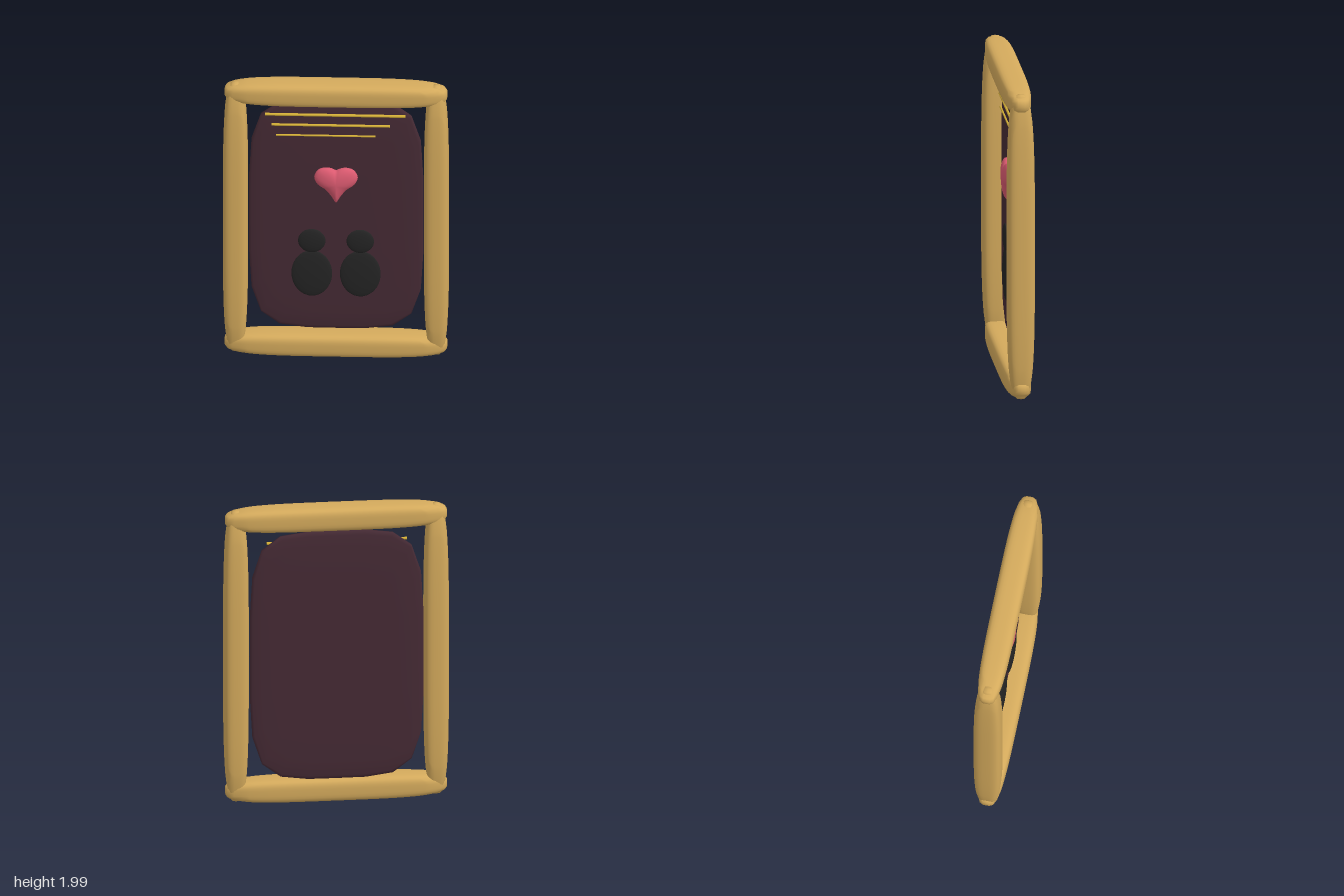
import * as THREE from 'three';
import { mergeVertices } from 'three/addons/utils/BufferGeometryUtils.js';

const material = (color) => new THREE.MeshStandardMaterial({ color });

function smooth(geometry) {
  geometry.deleteAttribute('normal');
  geometry.deleteAttribute('uv');
  const merged = mergeVertices(geometry, 1e-5);
  merged.computeVertexNormals();
  return merged;
}

// Box swollen into a superellipsoid with the given half sizes and segments
function softBox(half, segments, power) {
  const geometry = new THREE.BoxGeometry(2, 2, 2, ...segments);
  const pos = geometry.attributes.position;
  const v = new THREE.Vector3();
  for (let i = 0; i < pos.count; i++) {
    v.fromBufferAttribute(pos, i);
    const sum = Math.abs(v.x) ** power + Math.abs(v.y) ** power + Math.abs(v.z) ** power;
    v.multiplyScalar(sum ** (-1 / power));
    pos.setXYZ(i, v.x * half[0], v.y * half[1], v.z * half[2]);
  }
  return smooth(geometry);
}

// Puffed heart: a sphere whose rings follow a heart outline
function heartGeometry() {
  const side = [[0, -0.145], [0.025, -0.105], [0.065, -0.05], [0.115, -0.01], [0.135, 0.04],
    [0.112, 0.09], [0.065, 0.107], [0.025, 0.1]];
  const outline = [...side, [0, 0.088], ...side.slice(1).reverse().map(([x, y]) => [-x, y])];
  const curve = new THREE.CatmullRomCurve3(outline.map(([x, y]) => new THREE.Vector3(x, y, 0)), true);
  const columns = 48, rows = 16;
  const geometry = new THREE.SphereGeometry(1, columns, rows);
  const pos = geometry.attributes.position;
  const p = new THREE.Vector3();
  for (let i = 0; i < pos.count; i++) {
    const column = i % (columns + 1);
    const angle = Math.PI * Math.floor(i / (columns + 1)) / rows;
    curve.getPoint((column % columns) / columns, p);
    const r = Math.sin(angle);
    pos.setXYZ(i, p.x * r, p.y * r, 0.045 * Math.cos(angle));
  }
  return smooth(geometry);
}

export function createModel() {
  const group = new THREE.Group();
  const wood = material(0xd4aa5c);
  const plum = material(0x452a34);
  const gold = material(0xd4af37);
  const black = material(0x242424);
  const pink = material(0xdb5a70);

  function add(name, geometry, mat, x, y, z) {
    const mesh = new THREE.Mesh(geometry, mat);
    mesh.name = name;
    mesh.position.set(x, y, z);
    group.add(mesh);
    return mesh;
  }

  // Frame bars
  const rail = softBox([0.69, 0.078, 0.086], [24, 8, 8], 3.8);
  const post = softBox([0.078, 0.985, 0.086], [8, 28, 8], 3.6);
  add('topRail', rail, wood, 0, 1.922, 0);
  add('bottomRail', rail, wood, 0, 0.085, 0);
  add('leftPost', post, wood, 0.622, 1, 0);
  add('rightPost', post, wood, -0.622, 1, 0);

  // Backing panel
  add('panel', softBox([0.54, 0.84, 0.03], [6, 6, 6], 4.7), plum, 0, 1.003, -0.045);

  // Gold strips: left end, right end, height, radius
  const strips = [[-0.44, 0.43, 1.753, 0.009], [-0.4, 0.335, 1.678, 0.008], [-0.37, 0.245, 1.602, 0.006]];
  strips.forEach(([a, b, y, r], i) => {
    const strip = add(`strip${i + 1}`, new THREE.CylinderGeometry(r, r, b - a, 12), gold, (a + b) / 2, y, 0);
    strip.rotation.z = Math.PI / 2;
  });

  // Heart
  add('heart', heartGeometry(), pink, 0, 1.258, 0);

  // Pair of silhouettes
  for (const [label, x] of [['left', 0.15], ['right', -0.15]]) {
    const ball = new THREE.SphereGeometry(1, 32, 20);
    add(`${label}Body`, ball, black, x, 0.585, -0.005).scale.set(0.126, 0.167, 0.016);
    add(`${label}Head`, ball, black, x, 0.825, -0.003).scale.set(0.085, 0.085, 0.016);
  }

  return group;
}
